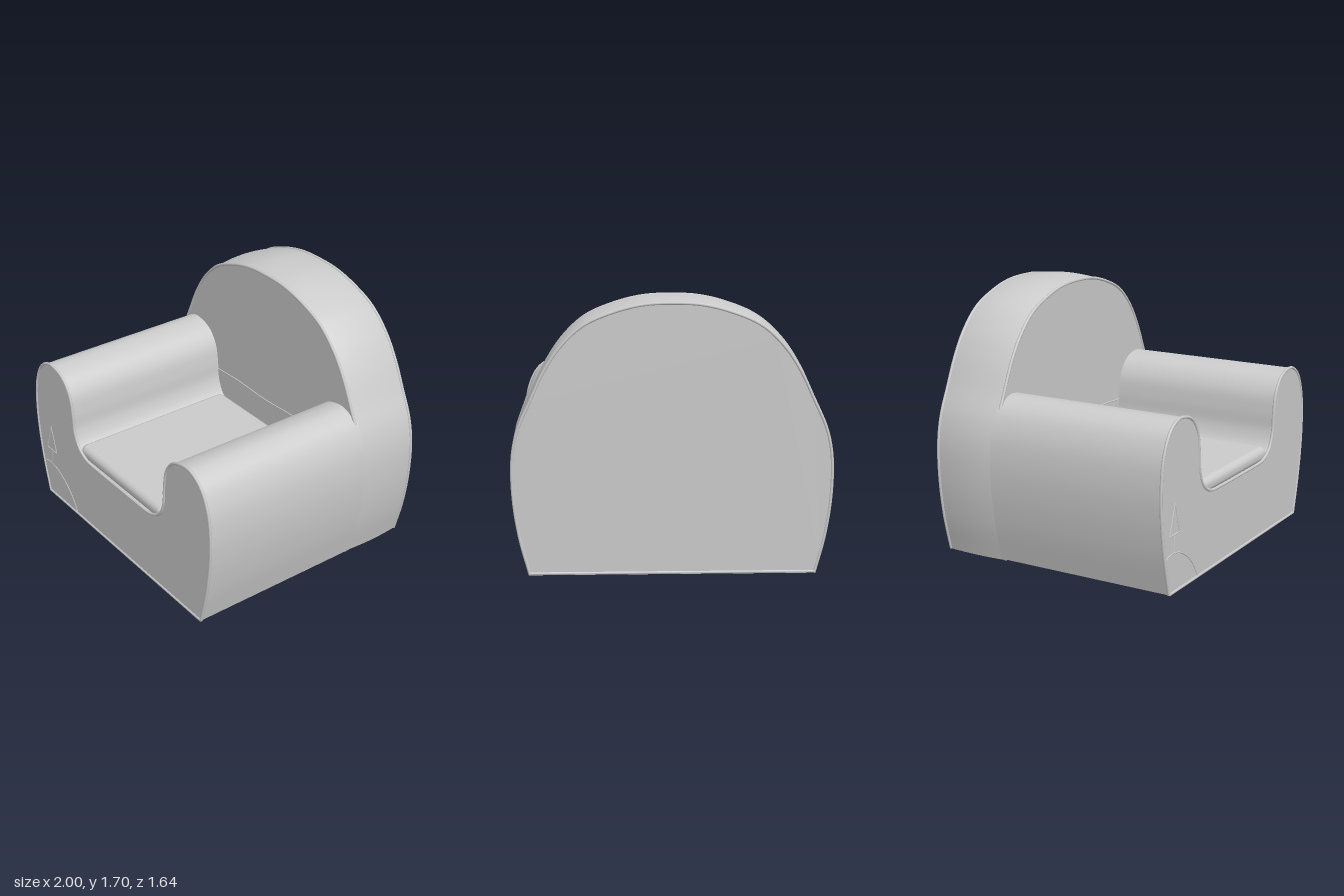
import * as THREE from 'three';
import { toCreasedNormals } from 'three/addons/utils/BufferGeometryUtils.js';
import { RoundedBoxGeometry } from 'three/addons/geometries/RoundedBoxGeometry.js';

const material = new THREE.MeshStandardMaterial({ color: 0xcccccc });

// Right half of each outline [x, y], from the floor to the centre line
const ARM_HALF = [
  [0.89, 0.012], [0.95, 0.26], [0.985, 0.5], [0.99, 0.7], [0.965, 0.87], [0.9, 1.0],
  [0.81, 1.06], [0.73, 1.065], [0.62, 1.025], [0.55, 0.93], [0.525, 0.8], [0.515, 0.68],
  [0.47, 0.58], [0.38, 0.523], [0.2, 0.512], [0, 0.512],
];
const BACK_HALF = [
  [0.885, 0], [0.945, 0.24], [0.98, 0.5], [0.98, 0.75], [0.945, 0.92], [0.87, 1.09], [0.78, 1.28],
  [0.68, 1.43], [0.54, 1.56], [0.36, 1.64], [0.18, 1.685], [0, 1.695],
];

function outline(half) {
  const mirrored = half.slice(0, -1).reverse().map(([x, y]) => [-x, y]);
  const points = [...half, ...mirrored].map(([x, y]) => new THREE.Vector3(x, y, 0));
  return new THREE.CatmullRomCurve3(points, false, 'centripetal').getPoints(140);
}

function addMesh(group, name, geometry) {
  const mesh = new THREE.Mesh(geometry, material);
  mesh.name = name;
  group.add(mesh);
  return mesh;
}

// Foam block: outline run from z0 to z1, slightly fuller in the middle of its depth
function foamBlock(points, z0, z1, taper) {
  const shape = new THREE.Shape(points.map((p) => new THREE.Vector2(p.x, p.y)));
  const geometry = new THREE.ExtrudeGeometry(shape, { depth: z1 - z0, steps: 12, bevelEnabled: false });
  const pos = geometry.attributes.position;
  for (let i = 0; i < pos.count; i++) {
    const t = (pos.getZ(i) / (z1 - z0)) * 2 - 1;
    const s = 1 - taper * t * t;
    pos.setXYZ(i, pos.getX(i) * s, pos.getY(i) * s, pos.getZ(i) + z0);
  }
  return toCreasedNormals(geometry, 0.7);
}

// Cord following a list of points
function cord(points, radius, segments, closed = false) {
  const curve = new THREE.CatmullRomCurve3(points, closed, 'centripetal');
  return new THREE.TubeGeometry(curve, segments, radius, 8, closed);
}

// Piping along the curved outline and the straight bottom edge
function addPiping(group, name, points, z, scale) {
  const path = points.map((p) => new THREE.Vector3(p.x * scale, p.y * scale + 0.002, z));
  addMesh(group, name, cord(path, 0.01, 200));
  const bottom = [path[0], path[path.length - 1]].map((p) => p.clone().setY(Math.max(p.y, 0.01)));
  addMesh(group, name + 'Bottom', cord(bottom, 0.01, 2));
}

// Stitched line on a vertical face, made of straight or curved runs
function addSeam(group, name, xy, z, straight = false) {
  const points = xy.map(([x, y]) => new THREE.Vector3(x, y, z));
  if (!straight) return addMesh(group, name, cord(points, 0.005, 40));
  for (let i = 1; i < points.length; i++) {
    addMesh(group, name, cord([points[i - 1], points[i]], 0.005, 1));
  }
}

export function createModel() {
  const model = new THREE.Group();
  model.name = 'armchair';

  // Arms and seat base in one U-shaped block
  const arms = outline(ARM_HALF);
  addMesh(model, 'armsAndBase', foamBlock(arms, -0.4, 0.812, 0));
  addPiping(model, 'frontPiping', arms, 0.81, 1);

  // Rounded backrest
  const back = outline(BACK_HALF);
  addMesh(model, 'backrest', foamBlock(back, -0.818, -0.38, 0.014));
  addPiping(model, 'backrestFrontPiping', back, -0.382, 0.985);
  addPiping(model, 'backrestRearPiping', back, -0.815, 0.985);
  addSeam(model, 'backrestSeam', [[-0.52, 0.75], [-0.3, 0.758], [0, 0.748], [0.3, 0.762], [0.52, 0.755]], -0.38);

  // Loose seat cushion with a soft, slightly crowned top
  const cushion = new RoundedBoxGeometry(0.94, 0.1, 1.17, 6, 0.045);
  addMesh(model, 'seatCushion', cushion).position.set(-0.005, 0.548, 0.217);

  // Stitched hill and tree on the front panel
  addSeam(model, 'hillSeam', [[-0.94, 0.245], [-0.86, 0.26], [-0.77, 0.245], [-0.67, 0.19], [-0.59, 0.11], [-0.53, 0.015]], 0.811);
  addSeam(model, 'treeSeam', [[-0.825, 0.57], [-0.89, 0.375], [-0.77, 0.375], [-0.825, 0.57]], 0.811, true);
  addSeam(model, 'trunkSeam', [[-0.825, 0.375], [-0.838, 0.26]], 0.811, true);

  return model;
}
